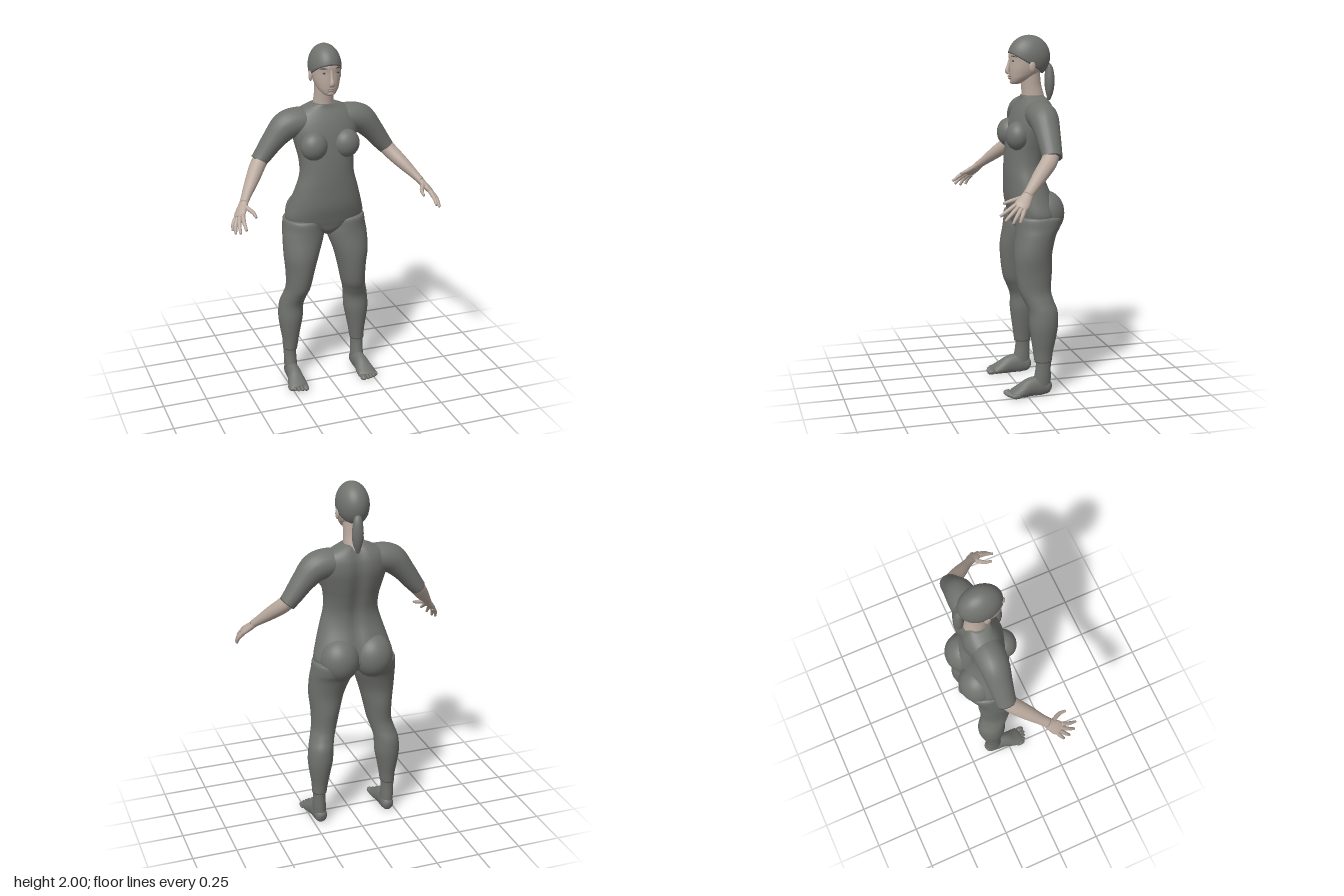
import * as THREE from 'three';

const V = (x, y, z) => new THREE.Vector3(x, y, z);

// Catmull-Rom smoothing of rows of numbers
function smooth(keys, n = 5) {
  const out = [], last = keys.length - 1;
  for (let i = 0; i < last; i++) {
    const a = keys[Math.max(i - 1, 0)], b = keys[i], c = keys[i + 1], d = keys[Math.min(i + 2, last)];
    for (let k = 0; k < n; k++) {
      const t = k / n;
      out.push(b.map((p, j) => {
        const cubic = 3 * (p - c[j]) + d[j] - a[j];
        const square = 2 * a[j] - 5 * p + 4 * c[j] - d[j];
        return p + 0.5 * t * (c[j] - a[j] + t * (square + t * cubic));
      }));
    }
  }
  out.push(keys[last]);
  return out;
}

// Skin over closed rings of points, with end caps
function skinRings(rings) {
  const m = rings[0].length, pos = [], idx = [];
  rings.forEach(r => r.forEach(p => pos.push(p.x, p.y, p.z)));
  for (let i = 0; i < rings.length - 1; i++) for (let j = 0; j < m; j++) {
    const a = i * m + j, b = i * m + (j + 1) % m;
    idx.push(a, b, b + m, a, b + m, a + m);
  }
  [0, rings.length - 1].forEach((r, end) => {
    const c = rings[r].reduce((s, p) => s.add(p), V(0, 0, 0)).divideScalar(m);
    const ci = pos.length / 3;
    pos.push(c.x, c.y, c.z);
    for (let j = 0; j < m; j++) {
      const a = r * m + j, b = r * m + (j + 1) % m;
      idx.push(ci, end ? a : b, end ? b : a);
    }
  });
  const g = new THREE.BufferGeometry();
  g.setAttribute('position', new THREE.Float32BufferAttribute(pos, 3));
  g.setIndex(idx);
  g.computeVertexNormals();
  return g;
}

// Upright body: rows of [y, centre x, half width, front z, back z], rising
function body(keys, { s = 1, n = 2, groove = 0, seg = 40 } = {}) {
  return skinRings(smooth(keys).map(([y, cx, w, zf, zb]) => Array.from({ length: seg }, (_, j) => {
    const a = j / seg * Math.PI * 2, c = Math.cos(a), d = -Math.sin(a);
    const x = w * Math.sign(c) * Math.abs(c) ** (2 / n);
    let z = (zf + zb) / 2 + (zf - zb) / 2 * Math.sign(d) * Math.abs(d) ** (2 / n);
    if (d < 0) z += groove * Math.exp(-((x / 0.035) ** 2));
    return V(s * cx + x, y, z);
  })));
}

// Tapered limb: rows of [x, y, z, half width along ref, half thickness]
function limb(keys, { s = 1, ref = [0, 0, 1], seg = 20, floor = -1 } = {}) {
  const rows = smooth(keys), r = V(s * ref[0], ref[1], ref[2]);
  const c = rows.map(k => V(s * k[0], k[1], k[2]));
  return skinRings(rows.map((k, i) => {
    const t = c[Math.min(i + 1, c.length - 1)].clone().sub(c[Math.max(i - 1, 0)]).normalize();
    const u = r.clone().addScaledVector(t, -r.dot(t)).normalize(), v = t.clone().cross(u);
    return Array.from({ length: seg }, (_, j) => {
      const a = j / seg * Math.PI * 2;
      const p = c[i].clone().addScaledVector(u, k[3] * Math.cos(a)).addScaledVector(v, k[4] * Math.sin(a));
      p.y = Math.max(p.y, floor);
      return p;
    });
  }));
}

const blob = (x, y, z, rx, ry, rz) =>
  new THREE.SphereGeometry(1, 28, 20).scale(rx, ry, rz).translate(x, y, z);

export function createModel() {
  const model = new THREE.Group();
  const material = (name, color) => {
    const m = new THREE.MeshStandardMaterial({ color, side: THREE.DoubleSide });
    m.name = name;
    return m;
  };
  const grey = material('grey cloth and hair', 0x70726e);
  const skin = material('skin', 0xb9a99e);
  const lipTone = material('lips', 0x9c887e);
  const dark = material('brows and eyes', 0x4c4a48);
  const add = (name, geo, mat) => {
    const mesh = new THREE.Mesh(geo, mat);
    mesh.name = name;
    model.add(mesh);
  };

  // Torso
  add('torso', body([
    [0.92, 0, 0.03, 0.0, -0.12], [0.95, 0, 0.10, 0.02, -0.18], [0.985, 0, 0.2, 0.03, -0.205],
    [1.02, 0, 0.228, 0.04, -0.215], [1.1, 0, 0.208, 0.06, -0.195], [1.2, 0, 0.178, 0.065, -0.155],
    [1.28, 0, 0.156, 0.065, -0.145], [1.36, 0, 0.156, 0.06, -0.16], [1.44, 0, 0.172, 0.05, -0.182],
    [1.52, 0, 0.19, 0.035, -0.2], [1.58, 0, 0.188, 0.015, -0.2], [1.62, 0, 0.17, -0.005, -0.188],
    [1.65, 0, 0.12, -0.022, -0.172], [1.672, 0, 0.066, -0.028, -0.155]], { n: 2.2, groove: 0.018, seg: 56 }), grey);

  // Neck and head
  add('neck', limb([[0, 1.63, -0.1, 0.062, 0.068], [0, 1.68, -0.092, 0.057, 0.06],
    [0, 1.73, -0.084, 0.054, 0.056], [0, 1.82, -0.075, 0.055, 0.056]], { ref: [1, 0, 0] }), skin);
  add('head', body([
    [1.733, 0, 0.018, 0.022, -0.01], [1.742, 0, 0.035, 0.031, -0.03], [1.765, 0, 0.054, 0.037, -0.075],
    [1.79, 0, 0.066, 0.04, -0.12], [1.82, 0, 0.074, 0.041, -0.145], [1.86, 0, 0.079, 0.04, -0.165],
    [1.9, 0, 0.08, 0.041, -0.175], [1.94, 0, 0.07, 0.022, -0.16], [1.975, 0, 0.04, -0.02, -0.12]], { n: 2.15 }), skin);
  add('nose', limb([[0, 1.875, 0.036, 0.007, 0.006], [0, 1.835, 0.045, 0.009, 0.009],
    [0, 1.805, 0.052, 0.014, 0.012], [0, 1.79, 0.044, 0.016, 0.007]], { ref: [1, 0, 0] }), skin);
  add('upperLip', blob(0, 1.777, 0.038, 0.022, 0.005, 0.01), lipTone);
  add('lowerLip', blob(0, 1.766, 0.036, 0.019, 0.006, 0.01), lipTone);
  add('chin', blob(0, 1.747, 0.022, 0.022, 0.014, 0.014), skin);

  // Hair cap with a sloping hairline
  const cap = [];
  for (let i = 0; i <= 20; i++) cap.push(Array.from({ length: 48 }, (_, j) => {
    const a = j / 48 * Math.PI * 2, c = -Math.sin(a);
    const edge = Math.acos(-0.375 / Math.hypot(1, 0.6 * c)) - Math.atan(0.6 * c);
    const p = edge * (1 - i / 20) + 1e-4;
    return V(0.088 * Math.sin(p) * Math.cos(a), 1.88 + 0.12 * Math.cos(p), -0.072 + 0.12 * Math.sin(p) * c);
  }));
  add('hairCap', skinRings(cap), grey);
  add('ponytail', limb([[0.005, 1.84, -0.165, 0.016, 0.016], [0.01, 1.815, -0.185, 0.024, 0.022],
    [0.012, 1.75, -0.188, 0.032, 0.028], [0.012, 1.69, -0.188, 0.026, 0.022],
    [0.01, 1.64, -0.186, 0.007, 0.007]], { ref: [1, 0, 0] }), grey);

  for (const s of [1, -1]) {
    const side = s > 0 ? 'left' : 'right';

    // Face details
    add(side + 'Ear', blob(s * 0.083, 1.83, -0.068, 0.01, 0.03, 0.018), skin);
    add(side + 'Eye', blob(s * 0.034, 1.861, 0.029, 0.014, 0.005, 0.004), dark);
    add(side + 'Brow', limb([[0.015, 1.883, 0.037, 0.004, 0.003], [0.038, 1.888, 0.03, 0.004, 0.003],
      [0.058, 1.882, 0.012, 0.002, 0.002]], { s, ref: [0, 1, 0], seg: 8 }), dark);

    // Chest and hips
    add(side + 'Breast', blob(s * 0.093, 1.456, 0.018, 0.076, 0.08, 0.066), grey);
    add(side + 'Buttock', blob(s * 0.098, 1.02, -0.14, 0.112, 0.125, 0.107), grey);

    // Arm
    add(side + 'Sleeve', limb([[0.08, 1.575, -0.093, 0.08, 0.07], [0.16, 1.572, -0.093, 0.084, 0.08],
      [0.225, 1.55, -0.093, 0.08, 0.08], [0.29, 1.483, -0.094, 0.068, 0.063],
      [0.345, 1.412, -0.094, 0.059, 0.052], [0.379, 1.37, -0.092, 0.054, 0.045]], { s }), grey);
    const across = [-0.45, 0.25, 0.86];
    add(side + 'Forearm', limb([[0.35, 1.405, -0.095, 0.042, 0.04], [0.39, 1.355, -0.07, 0.045, 0.042],
      [0.445, 1.292, -0.005, 0.04, 0.036], [0.495, 1.235, 0.055, 0.03, 0.025],
      [0.52, 1.205, 0.088, 0.027, 0.021]], { s, ref: across }), skin);
    add(side + 'Palm', limb([[0.512, 1.214, 0.078, 0.027, 0.02], [0.532, 1.188, 0.1, 0.033, 0.019],
      [0.552, 1.164, 0.125, 0.04, 0.017], [0.566, 1.147, 0.142, 0.035, 0.012]], { s, ref: across }), skin);
    const fingers = [
      ['Thumb', [0.52, 1.195, 0.115], [0.492, 1.175, 0.165], [0.487, 1.162, 0.208]],
      ['IndexFinger', [0.545, 1.165, 0.155], [0.552, 1.137, 0.2], [0.55, 1.108, 0.242]],
      ['MiddleFinger', [0.558, 1.155, 0.145], [0.574, 1.122, 0.186], [0.578, 1.086, 0.222]],
      ['RingFinger', [0.567, 1.147, 0.132], [0.588, 1.112, 0.162], [0.596, 1.074, 0.186]],
      ['LittleFinger', [0.572, 1.143, 0.117], [0.594, 1.112, 0.135], [0.602, 1.078, 0.15]]];
    for (const [name, a, b, c] of fingers)
      add(side + name, limb([[...a, 0.013, 0.012], [...b, 0.011, 0.011], [...c, 0.007, 0.007]],
        { s, ref: [0.7, 0.7, 0], seg: 10 }), skin);

    // Legging, rising from ankle to hip
    add(side + 'Legging', body([
      [0.19, 0.21, 0.041, -0.048, -0.146], [0.25, 0.207, 0.047, -0.04, -0.155], [0.32, 0.206, 0.059, -0.03, -0.17],
      [0.4, 0.203, 0.071, -0.02, -0.183], [0.48, 0.198, 0.07, -0.018, -0.182], [0.54, 0.183, 0.068, 0.005, -0.162],
      [0.6, 0.167, 0.07, 0.032, -0.152], [0.7, 0.157, 0.082, 0.049, -0.16], [0.8, 0.149, 0.101, 0.054, -0.162],
      [0.9, 0.131, 0.118, 0.042, -0.188], [0.95, 0.125, 0.118, 0.038, -0.215],
      [1.0, 0.124, 0.113, 0.035, -0.225], [1.012, 0.124, 0.1, 0.02, -0.2]], { s }), grey);

    // Ankle, foot and toes
    add(side + 'Ankle', body([[0.04, 0.208, 0.036, -0.03, -0.142], [0.1, 0.21, 0.037, -0.045, -0.142],
      [0.16, 0.211, 0.036, -0.055, -0.141], [0.22, 0.21, 0.038, -0.055, -0.145]], { s }), grey);
    add(side + 'Foot', limb([[0.207, 0.032, -0.146, 0.012, 0.018], [0.207, 0.036, -0.13, 0.032, 0.038],
      [0.208, 0.046, -0.085, 0.038, 0.058], [0.21, 0.045, -0.025, 0.041, 0.056],
      [0.214, 0.028, 0.035, 0.053, 0.038], [0.216, 0.018, 0.075, 0.056, 0.024],
      [0.214, 0.014, 0.092, 0.05, 0.014]], { s, ref: [1, 0, 0], floor: 0 }), grey);
    for (let i = 0; i < 5; i++)
      add(side + 'Toe' + (i + 1), blob(s * (0.18 + i * 0.02 + (i ? 0.005 : 0)), 0.016, 0.1 - i * i * 0.0018,
        i ? 0.0115 : 0.018, i ? 0.014 : 0.016, i ? 0.028 : 0.027), grey);
  }
  return model;
}
